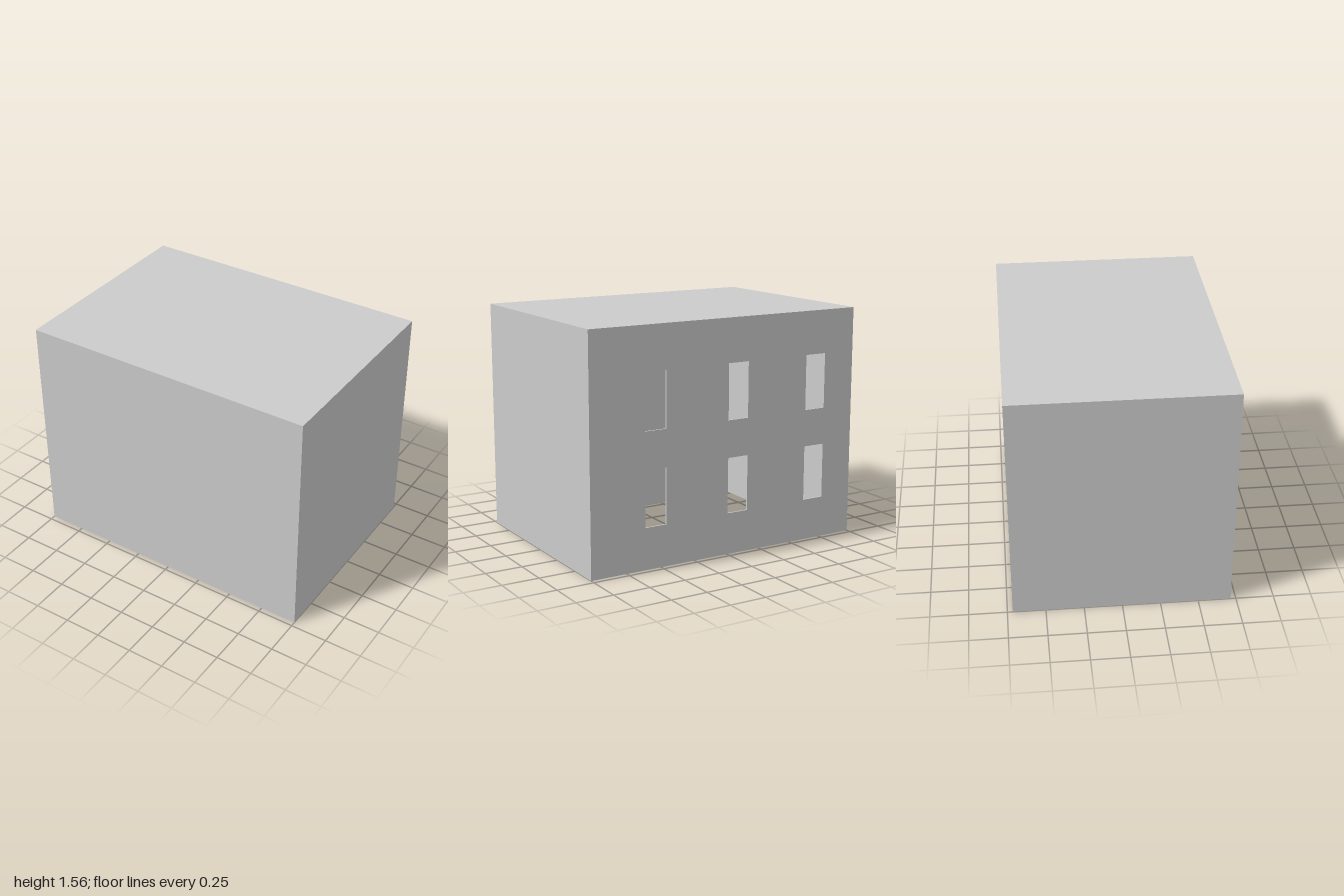
import * as THREE from 'three';

const W = 2, H = 1.556, D = 1.43;            // outer block
const SIDE = 0.154, ROOF = 0.154, FRONT = 0.182, BACK = 0.01; // wall thicknesses
const WIN_W = 0.154, WIN_H = 0.37;

export function createModel() {
  const model = new THREE.Group();
  const material = new THREE.MeshStandardMaterial({ color: 0xcccccc, flatShading: true });
  const half = Math.PI / 2;

  // Flat rectangle facing +z before turning, with optional [x, y, w, h] openings
  function panel(parent, name, w, h, pos, rot = [0, 0, 0], openings = []) {
    const rect = (Type, x, y, a, b) => {
      const p = new Type();
      p.moveTo(x - a / 2, y - b / 2);
      p.lineTo(x + a / 2, y - b / 2);
      p.lineTo(x + a / 2, y + b / 2);
      p.lineTo(x - a / 2, y + b / 2);
      p.closePath();
      return p;
    };
    const shape = rect(THREE.Shape, 0, 0, w, h);
    for (const o of openings) shape.holes.push(rect(THREE.Path, ...o));
    const mesh = new THREE.Mesh(new THREE.ShapeGeometry(shape), material);
    mesh.name = name;
    mesh.position.set(...pos);
    mesh.rotation.set(...rot);
    parent.add(mesh);
  }

  // Window centres in the back wall, two rows of three
  const windows = [];
  for (const y of [0.462, 1.08]) for (const x of [0.538, -0.077, -0.692]) windows.push([x, y]);

  // Outer shell
  const shell = new THREE.Group();
  shell.name = 'outerWalls';
  panel(shell, 'frontWall', W, H, [0, H / 2, D / 2]);
  panel(shell, 'roof', W, D, [0, H, 0], [-half, 0, 0]);
  for (const s of [1, -1])
    panel(shell, s > 0 ? 'leftWall' : 'rightWall', D, H, [s * W / 2, H / 2, 0], [0, s * half, 0]);
  panel(shell, 'backWall', W, H, [0, H / 2, -D / 2], [0, Math.PI, 0],
    windows.map(([x, y]) => [-x, y - H / 2, WIN_W, WIN_H]));

  // Hollow interior, open at the bottom
  const iw = W - 2 * SIDE, ih = H - ROOF, id = D - FRONT - BACK;
  const iz = (BACK - FRONT) / 2;
  const room = new THREE.Group();
  room.name = 'interior';
  panel(room, 'ceiling', iw, id, [0, ih, iz], [half, 0, 0]);
  panel(room, 'innerFrontWall', iw, ih, [0, ih / 2, D / 2 - FRONT], [0, Math.PI, 0]);
  for (const s of [1, -1])
    panel(room, s > 0 ? 'innerLeftWall' : 'innerRightWall', id, ih, [s * iw / 2, ih / 2, iz], [0, -s * half, 0]);
  panel(room, 'innerBackWall', iw, ih, [0, ih / 2, -D / 2 + BACK], [0, 0, 0],
    windows.map(([x, y]) => [x, y - ih / 2, WIN_W, WIN_H]));

  // Bottom edge of the walls
  panel(model, 'bottomRim', W, D, [0, 0, 0], [half, 0, 0], [[0, iz, iw, id]]);

  // Thin reveals around each window
  const reveals = new THREE.Group();
  reveals.name = 'windowReveals';
  const z = -D / 2 + BACK / 2;
  for (const [x, y] of windows) for (const s of [1, -1]) {
    panel(reveals, 'jamb', BACK, WIN_H, [x + s * WIN_W / 2, y, z], [0, -s * half, 0]);
    panel(reveals, s > 0 ? 'lintel' : 'sill', WIN_W, BACK, [x, y + s * WIN_H / 2, z], [s * half, 0, 0]);
  }

  model.add(shell, room, reveals);
  return model;
}
